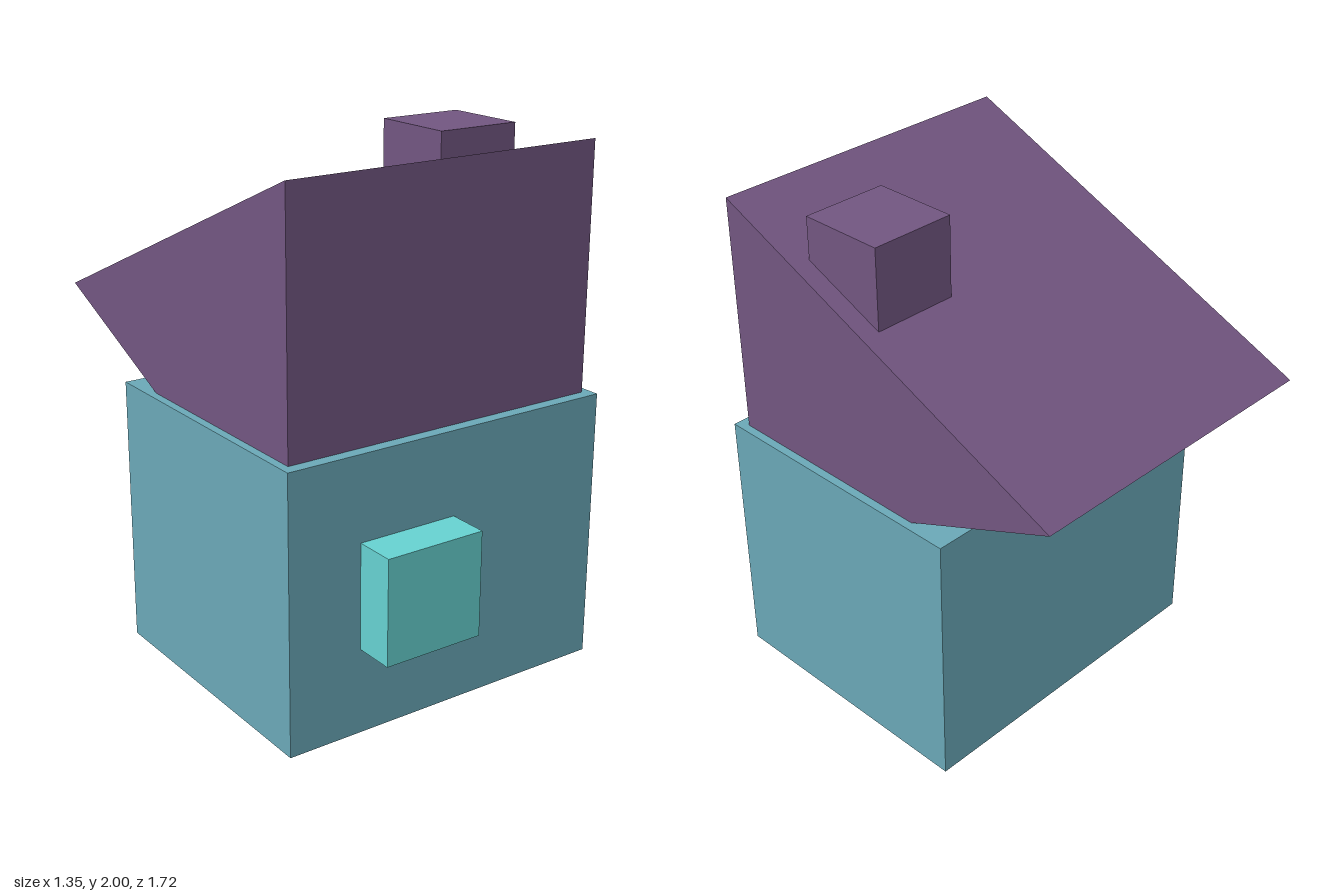
import * as THREE from 'three';

export function createModel() {
  const house = new THREE.Group();
  house.name = 'house';

  const material = (name, color) => {
    const m = new THREE.MeshStandardMaterial({ color });
    m.name = name;
    return m;
  };
  const wallBlue = material('wall blue', 0x6aa8b7);
  const roofPurple = material('roof purple', 0x725681);
  const windowTurquoise = material('window turquoise', 0x66d1d0);

  // Adds a box given by its lower and upper corners
  const addBox = (name, mat, [x0, y0, z0], [x1, y1, z1]) => {
    const mesh = new THREE.Mesh(new THREE.BoxGeometry(x1 - x0, y1 - y0, z1 - z0), mat);
    mesh.position.set((x0 + x1) / 2, (y0 + y1) / 2, (z0 + z1) / 2);
    mesh.name = name;
    house.add(mesh);
  };

  addBox('walls', wallBlue, [-0.678, 0, -0.4], [0.675, 1.048, 0.706]);
  addBox('frontWindow', windowTurquoise, [-0.387, 0.327, 0.6], [0.013, 0.727, 0.862]);
  addBox('chimney', roofPurple, [0.228, 1.66, -0.017], [0.568, 2, 0.322]);

  // Triangular prism roof, its lower edge sunk into the walls
  const profile = new THREE.Shape([
    new THREE.Vector2(-0.66, 1.983),
    new THREE.Vector2(-0.66, 0.665),
    new THREE.Vector2(0.86, 1.324),
  ]);
  const roofGeometry = new THREE.ExtrudeGeometry(profile, { depth: 1.288, bevelEnabled: false });
  roofGeometry.rotateY(Math.PI / 2); // profile x becomes -z, depth becomes x
  const roof = new THREE.Mesh(roofGeometry, roofPurple);
  roof.position.x = -0.646;
  roof.name = 'roof';
  house.add(roof);

  return house;
}
